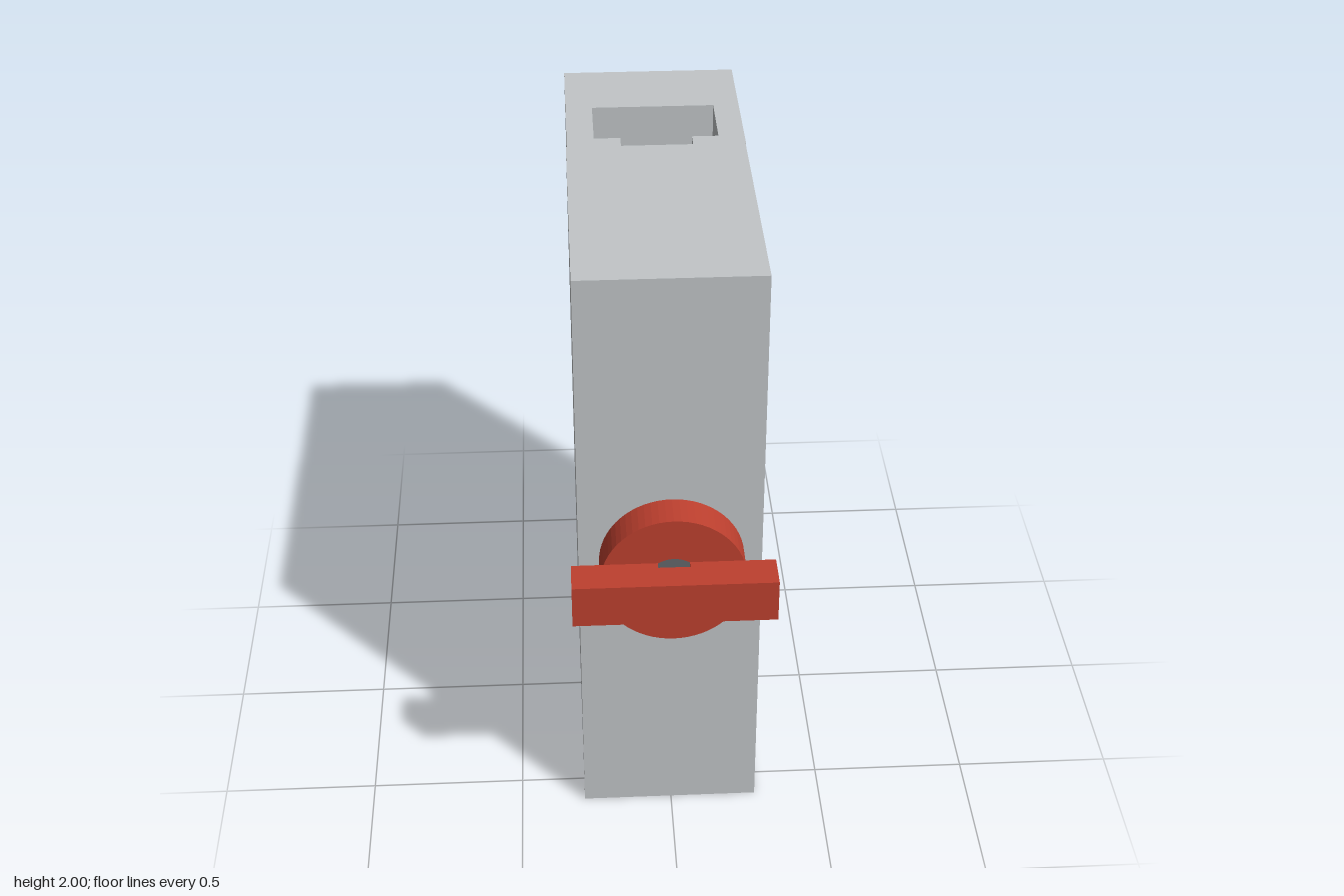
import * as THREE from 'three';

const mat = (name, color) => {
  const m = new THREE.MeshStandardMaterial({ color });
  m.name = name;
  return m;
};

const polygon = (pts) => new THREE.Shape(pts.map(([x, y]) => new THREE.Vector2(x, y)));

export function createModel() {
  const grey = mat('lightGrey', 0xc2c6c8);
  const red = mat('red', 0xbe402f);
  const dark = mat('darkGrey', 0x64686b);
  const model = new THREE.Group();

  const add = (name, geometry, material, x = 0, y = 0, z = 0) => {
    const mesh = new THREE.Mesh(geometry, material);
    mesh.name = name;
    mesh.position.set(x, y, z);
    model.add(mesh);
    return mesh;
  };

  // Extrudes an (x, z) outline upwards from y0 by the given height
  const upright = (pts, y0, height) =>
    new THREE.ExtrudeGeometry(polygon(pts.map(([x, z]) => [x, -z])), { depth: height, bevelEnabled: false })
      .rotateX(-Math.PI / 2).translate(0, y0, 0);

  // Cylinder along z between two depths
  const rod = (radius, z0, z1) =>
    new THREE.CylinderGeometry(radius, radius, z1 - z0, 48)
      .rotateX(Math.PI / 2).translate(0, 1, (z0 + z1) / 2);

  // Body: solid front block, and a rear block with a T-slot running right through
  add('frontBlock', new THREE.BoxGeometry(0.572, 2, 0.86), grey, -0.004, 1, 0.17);
  add('slottedRearBlock', upright([
    [-0.287, -0.26], [-0.287, -0.83], [0.284, -0.83], [0.284, -0.26],
    [0.115, -0.26], [0.115, -0.317], [0.2, -0.317], [0.2, -0.548],
    [-0.2, -0.548], [-0.2, -0.317], [-0.115, -0.317], [-0.115, -0.26],
  ], 0, 2), grey);

  // Bolt: head inside the slot, shaft passing through to the knob
  add('boltHead', rod(0.18, -0.51, -0.34), dark);
  add('boltShaft', rod(0.085, -0.34, 0.7), dark);

  // Knob: bored disc with a grip bar across it
  const disc = new THREE.Shape().absarc(0, 0, 0.226, 0, Math.PI * 2);
  disc.holes.push(new THREE.Path().absarc(0, 0, 0.085, 0, Math.PI * 2, true));
  add('knobDisc', new THREE.ExtrudeGeometry(disc, { depth: 0.115, bevelEnabled: false, curveSegments: 32 }),
    red, 0, 1.003, 0.6);
  add('knobBar', upright([
    [-0.314, 0.715], [-0.314, 0.83], [0.312, 0.83], [0.312, 0.715],
    [0.049, 0.715], [0.049, 0.738], [-0.049, 0.738], [-0.049, 0.715],
  ], 0.932, 0.142), red);

  return model;
}
